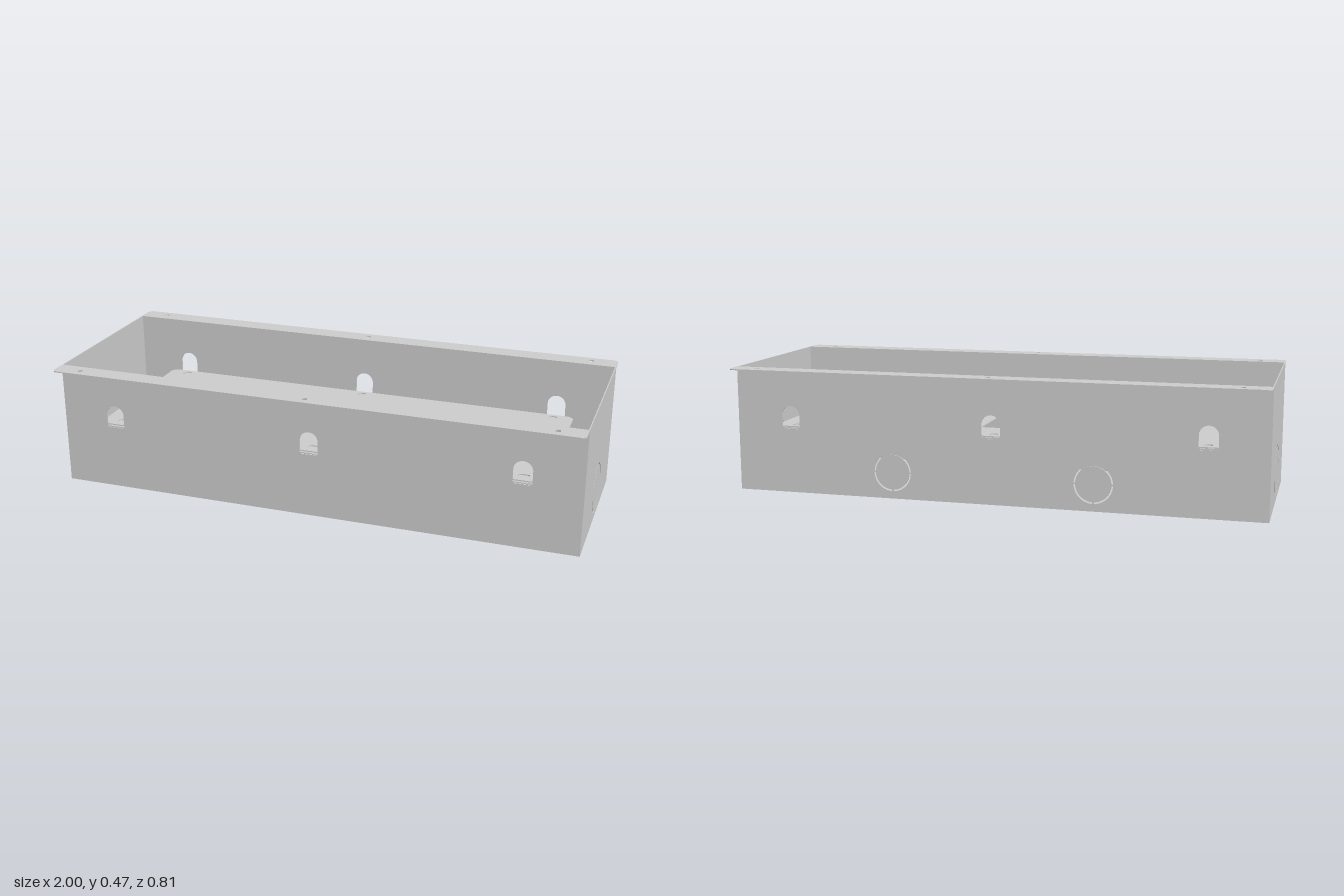
import * as THREE from 'three';

const T = 0.004;            // sheet thickness
const H = 0.475;            // box height
const D = 0.332;            // half depth of the box
const TAB_X = [-0.785, 0, 0.785];
const TAB_W = 0.035;        // half width of a tab
const SHELF = 0.25;         // height where the tabs carry the tray

const material = new THREE.MeshStandardMaterial({ color: 0xcccccc });

// Rounded rectangle outline, for shapes and holes
function rounded(path, x0, y0, x1, y1, r) {
  path.moveTo(x0 + r, y0);
  path.lineTo(x1 - r, y0);
  path.absarc(x1 - r, y0 + r, r, -Math.PI / 2, 0);
  path.absarc(x1 - r, y1 - r, r, 0, Math.PI / 2);
  path.absarc(x0 + r, y1 - r, r, Math.PI / 2, Math.PI);
  path.absarc(x0 + r, y0 + r, r, Math.PI, Math.PI * 1.5);
  path.closePath();
  return path;
}

function rect(path, x0, y0, x1, y1) {
  path.moveTo(x0, y0).lineTo(x1, y0).lineTo(x1, y1).lineTo(x0, y1).closePath();
  return path;
}

// Four curved slots, leaving small bridges that hold a knockout disc
function addKnockout(shape, x, y, r, w = 0.006) {
  const gap = 0.003 / r;
  for (let i = 0; i < 4; i++) {
    const a0 = i * Math.PI / 2 + gap, a1 = (i + 1) * Math.PI / 2 - gap;
    const slot = new THREE.Path();
    slot.absarc(x, y, r, a0, a1, false);
    slot.absarc(x, y, r - w, a1, a0, true);
    slot.closePath();
    shape.holes.push(slot);
  }
}

function addRoundHole(shape, x, y, r) {
  shape.holes.push(new THREE.Path().absarc(x, y, r, 0, Math.PI * 2));
}

// Arched window with a perforated bend line along its sill
function addWindow(shape, x) {
  const sill = SHELF, drop = SHELF - 0.006, w = TAB_W;
  const hole = new THREE.Path();
  hole.moveTo(x - w, sill);
  for (const c of [-0.024, -0.008, 0.008, 0.024]) {
    hole.lineTo(x + c - 0.005, sill);
    hole.lineTo(x + c - 0.005, drop);
    hole.lineTo(x + c + 0.005, drop);
    hole.lineTo(x + c + 0.005, sill);
  }
  hole.lineTo(x + w, sill);
  hole.lineTo(x + w, 0.297);
  hole.absarc(x, 0.297, w, 0, Math.PI, false);
  hole.closePath();
  shape.holes.push(hole);
}

function sheet(name, shape) {
  const geometry = new THREE.ExtrudeGeometry(shape, { depth: T, bevelEnabled: false, curveSegments: 16 });
  const mesh = new THREE.Mesh(geometry, material);
  mesh.name = name;
  return mesh;
}

// Lay a sheet flat: shape y becomes -z, thickness goes up from y
function flat(name, shape, y) {
  const mesh = sheet(name, shape);
  mesh.rotation.x = -Math.PI / 2;
  mesh.position.y = y;
  return mesh;
}

export function createModel() {
  const model = new THREE.Group();

  // Bottom with one knockout
  const bottom = rect(new THREE.Shape(), -1, -D, 1, D);
  addKnockout(bottom, 0, 0, 0.087);
  model.add(flat('bottom', bottom, 0));

  // Long walls with windows, rear one with two knockouts
  for (const side of [1, -1]) {
    const wall = rect(new THREE.Shape(), -1, T, 1, H);
    TAB_X.forEach((x) => addWindow(wall, x));
    if (side < 0) [-0.38, 0.38].forEach((x) => addKnockout(wall, x, 0.1, 0.072));
    const mesh = sheet(side > 0 ? 'frontWall' : 'backWall', wall);
    mesh.position.z = side > 0 ? D - T : -D;
    model.add(mesh);
  }

  // End walls with a knockout each
  for (const side of [1, -1]) {
    const wall = rect(new THREE.Shape(), -D + T, T, D - T, H);
    addKnockout(wall, 0, 0.117, 0.094);
    const mesh = sheet(side > 0 ? 'leftEndWall' : 'rightEndWall', wall);
    mesh.rotation.y = Math.PI / 2;
    mesh.position.x = side > 0 ? 1 - T : -1;
    model.add(mesh);
  }

  // Mounting flanges and inward support tabs, turned round for the rear
  for (const side of ['front', 'back']) {
    const half = new THREE.Group();
    half.name = side + 'FlangeAndTabs';
    const r = 0.02, out = -0.405;
    const flange = new THREE.Shape();
    flange.moveTo(-1, -D + T);
    flange.lineTo(-1, out + r);
    flange.absarc(-1 + r, out + r, r, Math.PI, Math.PI * 1.5);
    flange.absarc(1 - r, out + r, r, -Math.PI / 2, 0);
    flange.lineTo(1, -D + T);
    flange.closePath();
    [-0.9, 0, 0.9].forEach((x) => addRoundHole(flange, x, -0.37, 0.01));
    half.add(flat(side + 'Flange', flange, H - T));

    for (const x of TAB_X) {
      const w = TAB_W - 0.004, tab = new THREE.Shape();
      tab.moveTo(x - w, -D + T);
      tab.lineTo(x + w, -D + T);
      tab.lineTo(x + w, -0.29);
      tab.absarc(x, -0.29, w, 0, Math.PI, false);
      tab.closePath();
      half.add(flat('supportTab', tab, SHELF - T));
    }
    if (side === 'back') half.rotation.y = Math.PI;
    model.add(half);
  }

  // Inner tray resting on the tabs, with two cut-outs and fixing slots
  const tray = rounded(new THREE.Shape(), -0.857, -0.32, 0.857, 0.322, 0.03);
  tray.holes.push(rect(new THREE.Path(), -0.625, -0.072, 0.087, 0.157));
  tray.holes.push(rect(new THREE.Path(), 0.245, -0.072, 0.44, 0.157));
  for (const x of [-0.78, 0, 0.78]) {
    tray.holes.push(rounded(new THREE.Path(), x - 0.02, -0.293, x + 0.02, -0.267, 0.01));
    tray.holes.push(rounded(new THREE.Path(), x - 0.014, 0.27, x + 0.014, 0.308, 0.01));
  }
  model.add(flat('innerTray', tray, SHELF));

  return model;
}
